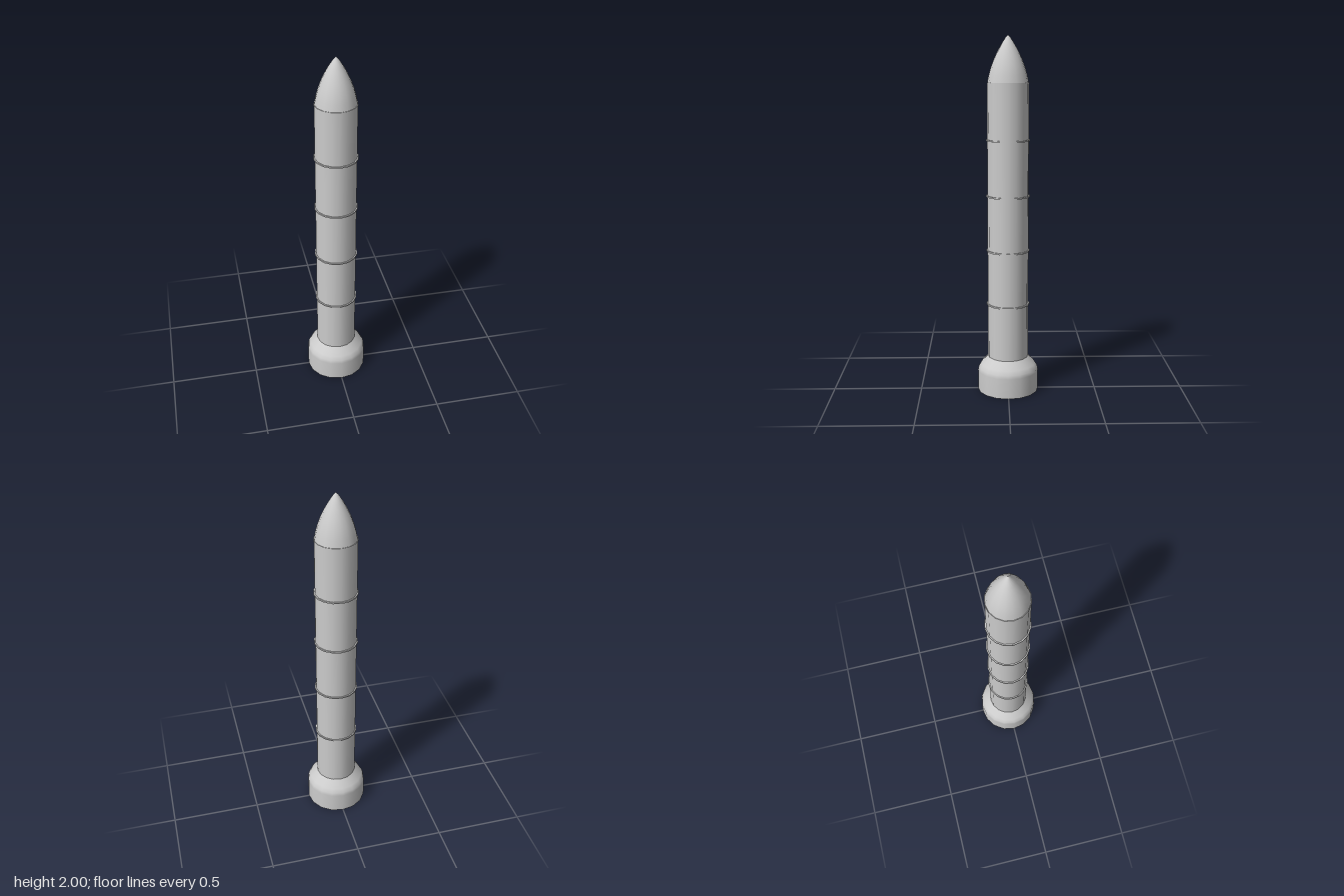
import * as THREE from 'three';

const SIDES = 16;
const BODY_R = 0.114, SKIRT_TOP = 0.2, NOSE_BASE = 1.745;

export function createModel() {
  const group = new THREE.Group();
  const material = new THREE.MeshStandardMaterial({ color: 0xcccccc, side: THREE.DoubleSide });

  const add = (name, geometry, y = 0) => {
    const mesh = new THREE.Mesh(geometry, material);
    mesh.name = name;
    mesh.position.y = y;
    group.add(mesh);
  };
  const lathe = (points) =>
    new THREE.LatheGeometry(points.map(([r, y]) => new THREE.Vector2(r, y)), SIDES);

  // Flared engine skirt, open underneath
  add('engineSkirt', lathe([
    [0.172, 0], [0.172, 0.115], [0.168, 0.135], [0.155, 0.157], [BODY_R, SKIRT_TOP],
  ]));

  // Straight body tube
  const length = NOSE_BASE - SKIRT_TOP;
  add('bodyTube',
    new THREE.CylinderGeometry(BODY_R, BODY_R, length, SIDES, 1, true),
    SKIRT_TOP + length / 2);

  // Raised bands that divide the body into five equal stages
  for (let i = 1; i <= 4; i++) {
    add('stageBand' + i,
      new THREE.CylinderGeometry(0.121, 0.121, 0.008, SIDES),
      SKIRT_TOP + (length * i) / 5);
  }

  // Thin seam under the nose
  add('noseSeam', new THREE.CylinderGeometry(0.115, 0.115, 0.006, SIDES), NOSE_BASE);

  // Curved, pointed nose cone
  add('noseCone', lathe([
    [0.113, NOSE_BASE], [0.105, 1.785], [0.094, 1.825], [0.079, 1.866],
    [0.06, 1.908], [0.038, 1.948], [0.015, 1.984], [0, 2],
  ]));

  return group;
}
